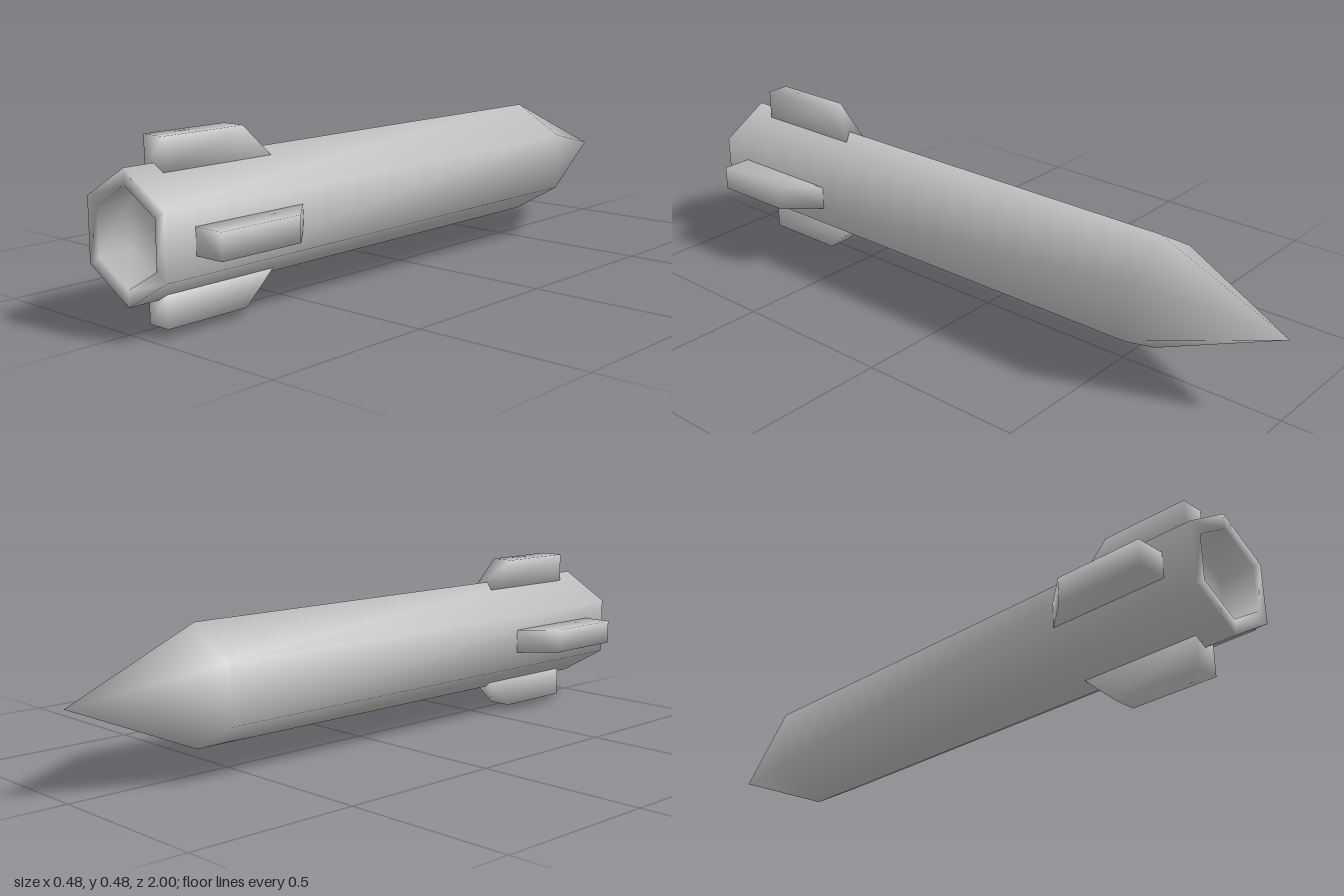
import * as THREE from 'three';
import { mergeVertices } from 'three/addons/utils/BufferGeometryUtils.js';

// Weld the corners so shading runs smoothly over the coarse shapes
function smooth(geometry) {
  geometry.deleteAttribute('normal');
  geometry.deleteAttribute('uv');
  const welded = mergeVertices(geometry, 1e-4);
  welded.computeVertexNormals();
  return welded;
}

export function createModel() {
  const model = new THREE.Group();
  model.name = 'rocket';
  const axisY = 0.242;
  const grey = new THREE.MeshStandardMaterial({ color: 0xc0c0c0 });
  grey.name = 'grey metal';

  // Six-sided body: pointed nose, straight hull, rim and hollow exhaust
  const profile = [
    [0, -1], [0.173, -0.6], [0.173, 1], [0.129, 1], [0.129, 0.9], [0, 0.9],
  ].map(([r, z]) => new THREE.Vector2(r, z));
  const hull = new THREE.LatheGeometry(profile, 6);
  hull.rotateX(Math.PI / 2);
  const body = new THREE.Mesh(smooth(hull), grey);
  body.name = 'body';
  body.position.y = axisY;
  model.add(body);

  // Thick fin: a block whose outer leading edge is swept back
  const inner = 0.149, outer = 0.241, tail = 0.91;
  const block = new THREE.BoxGeometry(0.072, 1, 1);
  const p = block.attributes.position;
  for (let i = 0; i < p.count; i++) {
    const isOuter = p.getY(i) > 0;
    const z = p.getZ(i) > 0 ? tail : isOuter ? 0.65 : 0.55;
    p.setXYZ(i, p.getX(i), isOuter ? outer : inner, z);
  }
  const finGeometry = smooth(block);

  // Four fins around the tail
  ['top', 'right', 'bottom', 'left'].forEach((side, i) => {
    const fin = new THREE.Mesh(finGeometry, grey);
    fin.name = side + 'Fin';
    fin.position.y = axisY;
    fin.rotation.z = i * Math.PI / 2;
    model.add(fin);
  });

  return model;
}
